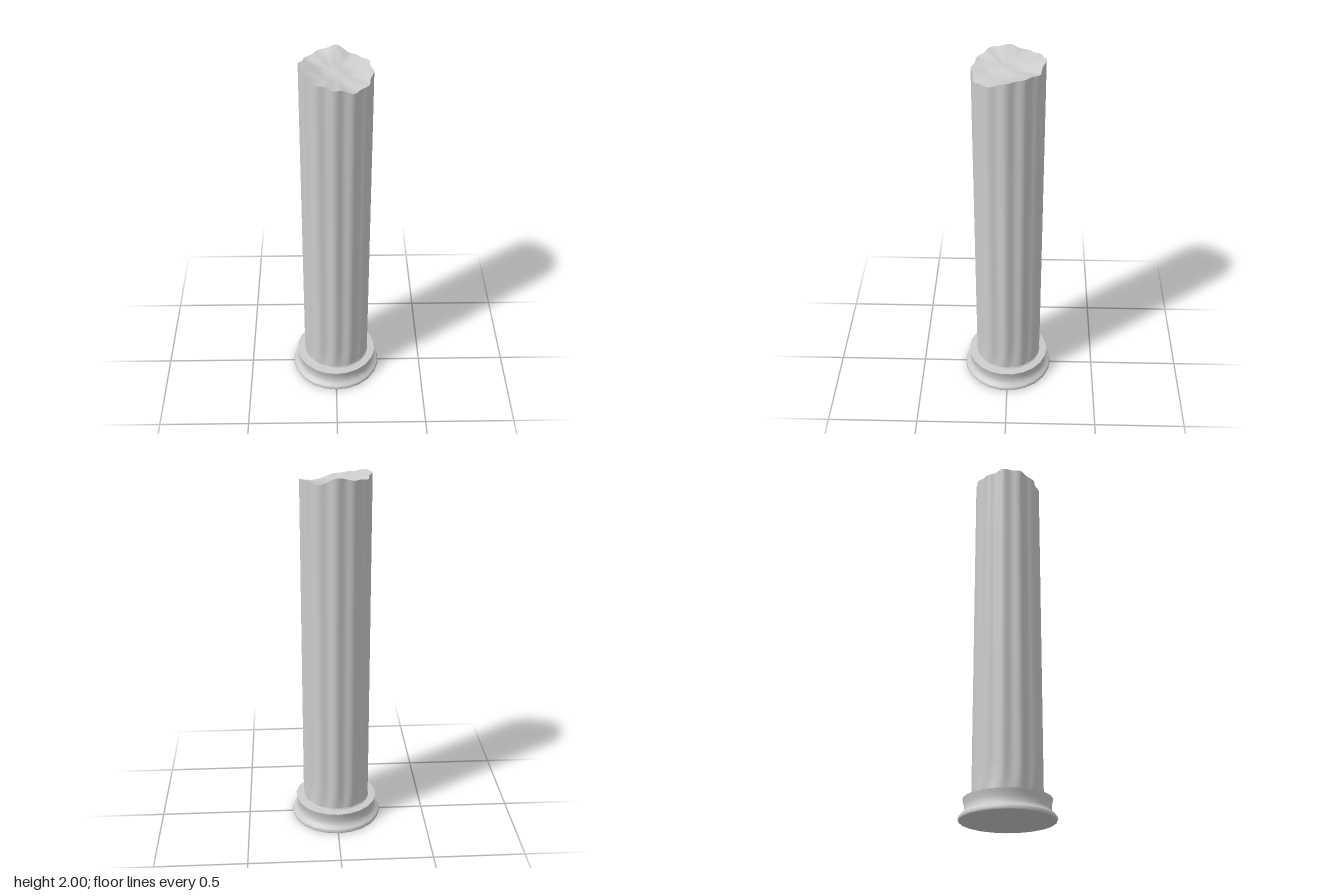
import * as THREE from 'three';
import { mergeVertices } from 'three/addons/utils/BufferGeometryUtils.js';

const FLUTES = 12, SIDES = 96;
// Height of the broken rim every 30 degrees, from +x towards +z
const RIM = [1.955, 1.925, 1.915, 1.94, 1.955, 1.98, 1.988, 1.972, 1.98, 1.998, 1.96, 1.965];

const material = new THREE.MeshStandardMaterial({ color: 0xcccccc, side: THREE.DoubleSide });

function rimHeight(a) {
  const t = ((a / (Math.PI * 2) + 1) % 1) * RIM.length;
  const i = Math.floor(t), f = t - i;
  const s = f * f * (3 - 2 * f);
  return RIM[i % RIM.length] * (1 - s) + RIM[(i + 1) % RIM.length] * s;
}

const fluteRadius = (a) => 0.179 + 0.006 * Math.cos(FLUTES * a - 0.6) + 0.002 * Math.sin(3 * a);

// Moves every vertex by a rule, then welds the seam and smooths the normals
function reshape(geometry, rule) {
  const p = geometry.attributes.position, v = new THREE.Vector3();
  for (let i = 0; i < p.count; i++) {
    v.fromBufferAttribute(p, i);
    rule(v, Math.atan2(v.z, v.x));
    p.setXYZ(i, v.x, v.y, v.z);
  }
  geometry.deleteAttribute('uv');
  geometry.deleteAttribute('normal');
  const welded = mergeVertices(geometry, 1e-5);
  welded.computeVertexNormals();
  return welded;
}

function addMesh(group, name, geometry) {
  const mesh = new THREE.Mesh(geometry, material);
  mesh.name = name;
  group.add(mesh);
}

export function createModel() {
  const model = new THREE.Group();
  model.name = 'brokenColumn';

  // Base: each profile run is its own lathe so the edges between them stay crisp
  const base = new THREE.Group();
  base.name = 'base';
  const runs = {
    underside: [[0, 0], [0.248, 0]],
    foot: [[0.248, 0], [0.252, 0.008], [0.247, 0.02]],
    scotia: [[0.247, 0.02], [0.23, 0.033], [0.221, 0.05], [0.221, 0.075], [0.226, 0.095], [0.229, 0.11]],
    ledge: [[0.229, 0.11], [0.188, 0.113]],
    collar: [[0.188, 0.113], [0.181, 0.125], [0.175, 0.15]],
  };
  for (const [name, points] of Object.entries(runs)) {
    addMesh(base, name, new THREE.LatheGeometry(points.map(([x, y]) => new THREE.Vector2(x, y)), 22));
  }
  model.add(base);

  // Fluted shaft with a jagged upper edge
  const shaft = reshape(new THREE.CylinderGeometry(1, 1, 1, SIDES, 24, true), (v, a) => {
    const t = v.y + 0.5;
    const y = 0.113 + t * (rimHeight(a) - 0.113);
    const fade = THREE.MathUtils.smoothstep(y, 0.11, 0.17);
    const r = THREE.MathUtils.lerp(0.182, fluteRadius(a), fade);
    v.set(Math.cos(a) * r, y, Math.sin(a) * r);
  });
  addMesh(model, 'shaft', shaft);

  // Uneven, slightly hollow fracture closing the top
  const disc = new THREE.RingGeometry(0, 1, SIDES, 10).rotateX(-Math.PI / 2);
  const fracture = reshape(disc, (v, a) => {
    const t = Math.hypot(v.x, v.z);
    const r = t * fluteRadius(a), x = Math.cos(a) * r, z = Math.sin(a) * r;
    const bumps = 0.006 * Math.sin(38 * x + 1) * Math.cos(33 * z);
    const floor = 1.94 - 0.06 * x - 0.06 * z + bumps;
    v.set(x, THREE.MathUtils.lerp(floor, rimHeight(a), t * t), z);
  });
  addMesh(model, 'fracture', fracture);

  return model;
}
